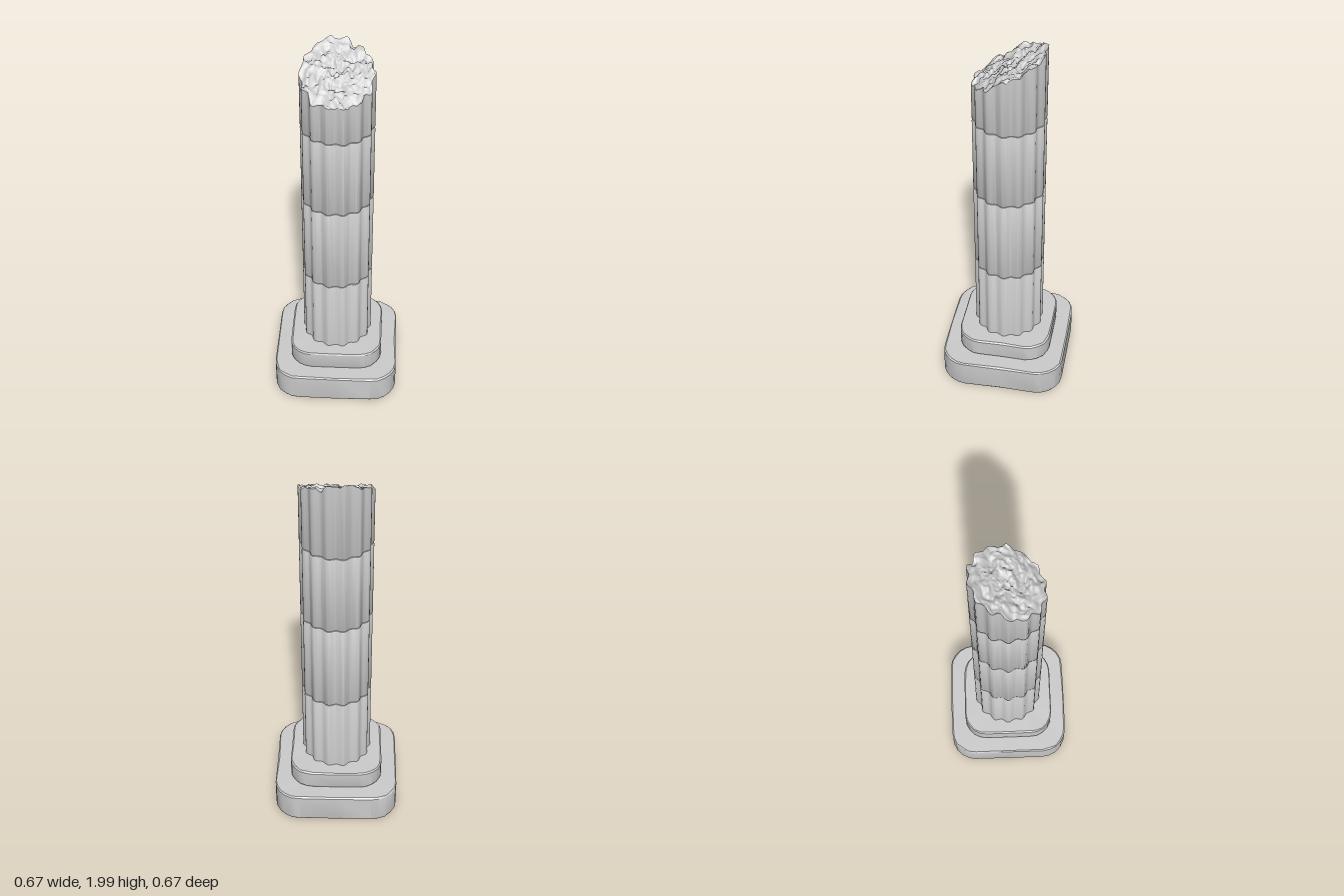
import * as THREE from 'three';
import { toCreasedNormals } from 'three/addons/utils/BufferGeometryUtils.js';

const material = new THREE.MeshStandardMaterial({ color: 0xcccccc });

// Repeatable value in 0..1 for a lattice point, and smooth noise in -1..1
function hash(i, j) {
  const s = Math.sin(i * 127.1 + j * 311.7) * 43758.5453;
  return s - Math.floor(s);
}
function noise(x, z) {
  const i = Math.floor(x), j = Math.floor(z);
  const u = THREE.MathUtils.smoothstep(x - i, 0, 1);
  const v = THREE.MathUtils.smoothstep(z - j, 0, 1);
  const a = THREE.MathUtils.lerp(hash(i, j), hash(i + 1, j), u);
  const b = THREE.MathUtils.lerp(hash(i, j + 1), hash(i + 1, j + 1), u);
  return 2 * THREE.MathUtils.lerp(a, b, v) - 1;
}

// Skin over closed rings of equal point count, listed bottom to top
function loft(rings) {
  const n = rings[0].length, index = [];
  const same = (p, q) => p.distanceToSquared(q) < 1e-12;
  for (let r = 0; r + 1 < rings.length; r++) {
    for (let i = 0; i < n; i++) {
      const j = (i + 1) % n;
      const a = r * n + i, b = r * n + j, c = a + n, d = b + n;
      if (!same(rings[r + 1][i], rings[r + 1][j])) index.push(a, c, d);
      if (!same(rings[r][i], rings[r][j])) index.push(a, d, b);
    }
  }
  const geometry = new THREE.BufferGeometry().setFromPoints(rings.flat());
  geometry.setIndex(index);
  geometry.computeVertexNormals();
  return geometry;
}

function addMesh(group, name, geometry) {
  const mesh = new THREE.Mesh(geometry, material);
  mesh.name = name;
  group.add(mesh);
}

// Worn square slab with rounded corners
function slab(half, radius, y0, y1, seed) {
  const ring = (y, inset, wear, dip) => {
    const points = [];
    for (let c = 0; c < 4; c++) {
      const mid = (c + 0.5) * Math.PI / 2;
      const cx = Math.sign(Math.cos(mid)) * (half - radius);
      const cz = Math.sign(Math.sin(mid)) * (half - radius);
      for (let k = 0; k <= 5; k++) {
        const a = (c + k / 5) * Math.PI / 2;
        const id = c * 7 + k;
        const r = radius - inset - wear * hash(id, seed);
        points.push(new THREE.Vector3(cx + r * Math.cos(a), y - dip * hash(id, seed + 5), cz + r * Math.sin(a)));
      }
      // point in the middle of the next side
      const a = (c + 1) * Math.PI / 2;
      const r = half - inset - wear * hash(c, seed + 9);
      points.push(new THREE.Vector3(r * Math.cos(a), y - dip * hash(c, seed + 3), r * Math.sin(a)));
    }
    return points;
  };
  const centre = y => ring(y, 0, 0, 0).map(() => new THREE.Vector3(0, y, 0));
  const rings = [
    centre(y0), ring(y0, 0.005, 0.005, 0), ring(y0 + 0.012, 0, 0.002, 0),
    ring(y1 - 0.008, 0, 0.002, 0.004), ring(y1, 0.004, 0.008, 0.004), centre(y1),
  ];
  return toCreasedNormals(loft(rings), 0.5);
}

// Fluted outline: 14 soft ridges
const SIDES = 112;
const fluteRadius = a => 0.18 + 0.008 * Math.cos(14 * a) + 0.001 * Math.sin(3 * a + 1);

// Height of the sloping, rough break
function breakHeight(x, z) {
  const rough = 0.016 * noise(x * 16 + 3, z * 26 + 7)
    + 0.012 * noise(x * 42 + 11, z * 55 + 2)
    + 0.006 * noise(x * 95, z * 95 + 5);
  return Math.min(2, 1.88 - 0.54 * z + rough);
}

function shaftRing(scale, height) {
  return Array.from({ length: SIDES }, (_, i) => {
    const a = i / SIDES * Math.PI * 2;
    const r = fluteRadius(a) * scale;
    const x = r * Math.cos(a), z = r * Math.sin(a);
    return new THREE.Vector3(x, height(x, z), z);
  });
}

export function createModel() {
  const group = new THREE.Group();
  group.name = 'brokenColumn';

  // Stepped base
  addMesh(group, 'lowerPlinth', slab(0.337, 0.14, 0, 0.16, 2));
  addMesh(group, 'upperPlinth', slab(0.253, 0.125, 0.16, 0.265, 17));

  // Drums parted by narrow worn joints
  const levels = [0.26, 0.683, 1.16, 1.584];
  levels.forEach((low, k) => {
    const high = levels[k + 1];
    const wavy = (y, seed) => (x, z) => y + 0.003 * noise(x * 18 + seed, z * 18);
    const rings = [];
    if (k > 0) rings.push(shaftRing(0.95, wavy(low, k)));
    rings.push(shaftRing(k ? 0.985 : 1, wavy(low + 0.002, k)));
    rings.push(shaftRing(1, wavy(low + 0.007, k)));
    if (high) {
      rings.push(shaftRing(1, wavy(high - 0.007, k + 1)));
      rings.push(shaftRing(0.985, wavy(high - 0.002, k + 1)));
      rings.push(shaftRing(0.95, wavy(high, k + 1)));
    } else {
      rings.push(shaftRing(1, breakHeight));
    }
    addMesh(group, 'drum' + (k + 1), toCreasedNormals(loft(rings), 0.6));
  });

  // Rough broken face, from the rim to the middle
  const rings = [];
  for (let s = 0; s <= 40; s++) rings.push(shaftRing(1 - s / 40, breakHeight));
  addMesh(group, 'brokenTop', loft(rings));

  return group;
}
